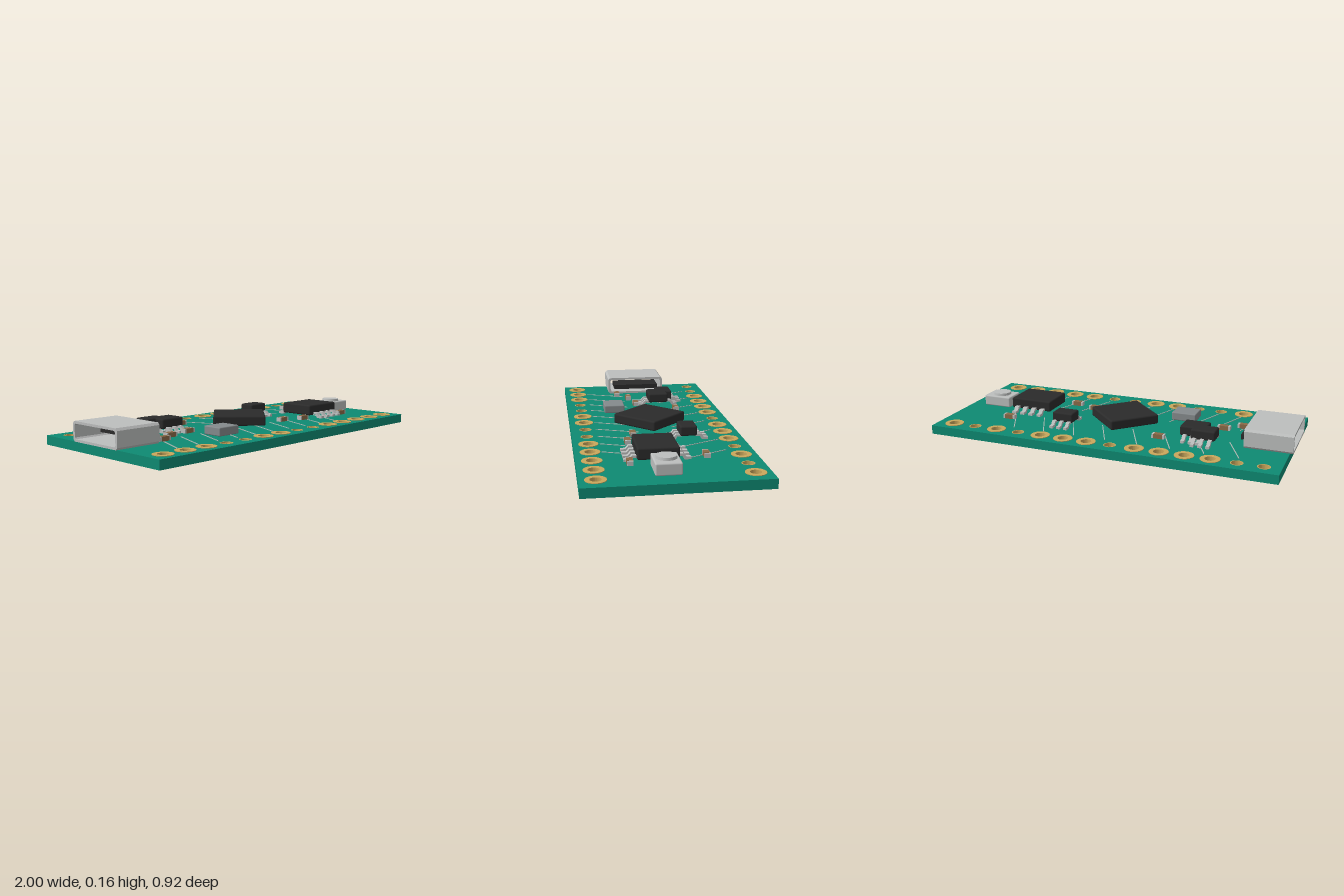
import * as THREE from 'three';
import { RoundedBoxGeometry } from 'three/addons/geometries/RoundedBoxGeometry.js';

const mat = (name, color) => {
  const m = new THREE.MeshStandardMaterial({ color });
  m.name = name;
  return m;
};

export function createModel() {
  const green = mat('board green', 0x0e8a72);
  const gold = mat('gold', 0xc9a75c);
  const black = mat('chip black', 0x2b2b2b);
  const silver = mat('silver', 0xbcbebd);
  const grey = mat('crystal grey', 0x858a8c);
  const brown = mat('capacitor brown', 0x8a6a48);
  const print = mat('trace print', 0xa9b8b0);

  const root = new THREE.Group();
  root.name = 'circuitBoard';
  const add = (name, geo, material, x = 0, y = 0, z = 0, parent = root) => {
    const m = new THREE.Mesh(geo, material);
    m.name = name;
    m.position.set(x, y, z);
    parent.add(m);
    return m;
  };
  const group = (name) => {
    const g = new THREE.Group();
    g.name = name;
    root.add(g);
    return g;
  };
  // Box from its limits, with slightly rounded edges when r > 0
  const block = (name, material, [x0, x1], [y0, y1], [z0, z1], r = 0, parent = root) => {
    const s = [x1 - x0, y1 - y0, z1 - z0];
    const geo = r ? new RoundedBoxGeometry(...s, 2, r) : new THREE.BoxGeometry(...s);
    return add(name, geo, material, (x0 + x1) / 2, (y0 + y1) / 2, (z0 + z1) / 2, parent);
  };

  // Board with two rows of drilled holes
  const T = 0.05, holeZ = 0.379, holeR = 0.033;
  const holeX = (i) => -0.89 + i * 0.1377;
  const shape = new THREE.Shape();
  shape.moveTo(-0.98, -0.46).lineTo(1, -0.46).lineTo(1, 0.46).lineTo(-0.98, 0.46).closePath();
  for (let i = 0; i < 14; i++) {
    for (const s of [-1, 1]) {
      shape.holes.push(new THREE.Path().absarc(holeX(i), s * holeZ, holeR, 0, Math.PI * 2, true));
    }
  }
  const boardGeo = new THREE.ExtrudeGeometry(shape, { depth: T, bevelEnabled: false, curveSegments: 12 });
  add('board', boardGeo.rotateX(-Math.PI / 2), green);

  // Plated sleeves in every hole, wide pads on some
  const ringGeo = (ri, ro, y0, y1) => new THREE.LatheGeometry(
    [[ri, y0], [ro, y0], [ro, y1], [ri, y1], [ri, y0]].map(([x, y]) => new THREE.Vector2(x, y)), 24,
  ).toNonIndexed();
  const sleeve = ringGeo(0.029, holeR + 0.001, -0.0005, T + 0.0005);
  const pad = ringGeo(0.029, 0.053, T - 0.001, T + 0.003);
  sleeve.computeVertexNormals();
  pad.computeVertexNormals();
  const padRows = [
    [-1, [2, 3, 4, 5, 7, 8, 9, 11, 13]],
    [1, [0, 1, 2, 5, 6, 9, 10, 11, 12, 13]],
  ];
  for (const [s, padded] of padRows) {
    for (let i = 0; i < 14; i++) {
      add('holeSleeve', sleeve, gold, holeX(i), 0, s * holeZ);
      if (padded.includes(i)) add('holePad', pad, gold, holeX(i), 0, s * holeZ);
    }
  }

  // Fine slanted traces
  const trace = (x0, z0, x1, z1) => {
    const m = add('trace', new THREE.BoxGeometry(0.005, 0.003, Math.hypot(x1 - x0, z1 - z0)), print,
      (x0 + x1) / 2, T + 0.0015, (z0 + z1) / 2);
    m.rotation.y = Math.atan2(x1 - x0, z1 - z0);
  };
  for (let i = 0; i < 8; i++) {
    const x = -0.75 + i * 0.185;
    trace(x, -0.32, x + 0.1, -0.11);
  }
  for (let i = 0; i < 10; i++) {
    const x = -0.75 + i * 0.138;
    trace(x, 0.32, x + 0.09, 0.09);
  }

  // Socket: a hollow metal shell with a dark tongue
  const socket = group('socket');
  const outline = (P, w, y0, y1, c) => new P().setFromPoints([
    [-w + c, y0], [w - c, y0], [w, y0 + c], [w, y1 - c], [w - c, y1], [-w + c, y1], [-w, y1 - c], [-w, y0 + c], [-w + c, y0],
  ].map(([x, y]) => new THREE.Vector2(x, y)));
  const shell = outline(THREE.Shape, 0.18, 0.055, 0.16, 0.012);
  shell.holes.push(outline(THREE.Path, 0.166, 0.068, 0.147, 0.008));
  const shellGeo = new THREE.ExtrudeGeometry(shell, { depth: 0.26, bevelEnabled: false });
  add('socketShell', shellGeo.rotateY(Math.PI / 2), silver, -1, 0, -0.002, socket);
  block('socketTongue', black, [-0.86, -0.717], [0.09, 0.118], [-0.145, 0.14], 0, socket);

  // Main processor, turned by 45 degrees
  add('processor', new RoundedBoxGeometry(0.293, 0.056, 0.293, 2, 0.01), black, 0, 0.09, 0.005)
    .rotation.y = Math.PI / 4;

  // Chips with bent legs along both long edges
  const legGeo = (w, len) => {
    const s = new THREE.Shape();
    s.setFromPoints([
      [-0.01, 0.085], [len * 0.35, 0.085], [len * 0.6, 0.067], [len, 0.067], [len, 0.053],
      [len * 0.45, 0.053], [len * 0.25, 0.072], [-0.01, 0.072],
    ].map(([x, y]) => new THREE.Vector2(x, y)));
    return new THREE.ExtrudeGeometry(s, { depth: w, bevelEnabled: false }).translate(0, 0, -w / 2);
  };
  const chip = (name, xs, zs, y0, legXs, legW, legLen) => {
    const g = group(name);
    block('chipBody', black, xs, [y0, 0.13], zs, 0.01, g);
    const geo = legGeo(legW, legLen);
    for (const x of legXs) {
      add('chipLeg', geo, silver, x, 0, zs[0], g).rotation.y = Math.PI / 2;
      add('chipLeg', geo, silver, x, 0, zs[1], g).rotation.y = -Math.PI / 2;
    }
  };
  chip('smallChipRear', [-0.59, -0.455], [-0.2, -0.105], 0.075, [-0.565, -0.522, -0.479], 0.02, 0.06);
  chip('smallChipFront', [-0.53, -0.385], [-0.165, -0.045], 0.075, [-0.5, -0.458, -0.416], 0.02, 0.06);
  chip('smallChipLeft', [0.235, 0.36], [-0.205, -0.112], 0.075, [0.255, 0.298, 0.341], 0.02, 0.06);
  chip('memoryChip', [0.452, 0.706], [-0.05, 0.163], 0.068, [0.5, 0.554, 0.608, 0.662], 0.025, 0.062);

  // Crystal can
  block('crystal', grey, [-0.39, -0.247], [0.053, 0.1], [0.123, 0.243], 0.006);

  // Push button
  const button = group('pushButton');
  block('buttonBase', silver, [0.737, 0.908], [0.055, 0.117], [-0.028, 0.103], 0.008, button);
  add('buttonCap', new THREE.CylinderGeometry(0.05, 0.053, 0.016, 28), silver, 0.82, 0.123, 0.037, button);

  // Small capacitors with metal end caps
  const caps = [
    [-0.675, 0.13], [-0.575, 0.066], [-0.425, 0.036], [-0.275, -0.195],
    [0.238, 0.13], [0.372, 0.174], [0.708, 0.2], [0.64, -0.195],
  ];
  for (const [x, z] of caps) {
    const g = group('capacitor');
    block('capacitorBody', brown, [x - 0.025, x + 0.025], [0.055, 0.08], [z - 0.016, z + 0.016], 0, g);
    for (const s of [-1, 1]) {
      add('capacitorEnd', new THREE.BoxGeometry(0.012, 0.023, 0.031), silver, x + s * 0.03, 0.0675, z, g);
    }
  }
  return root;
}
